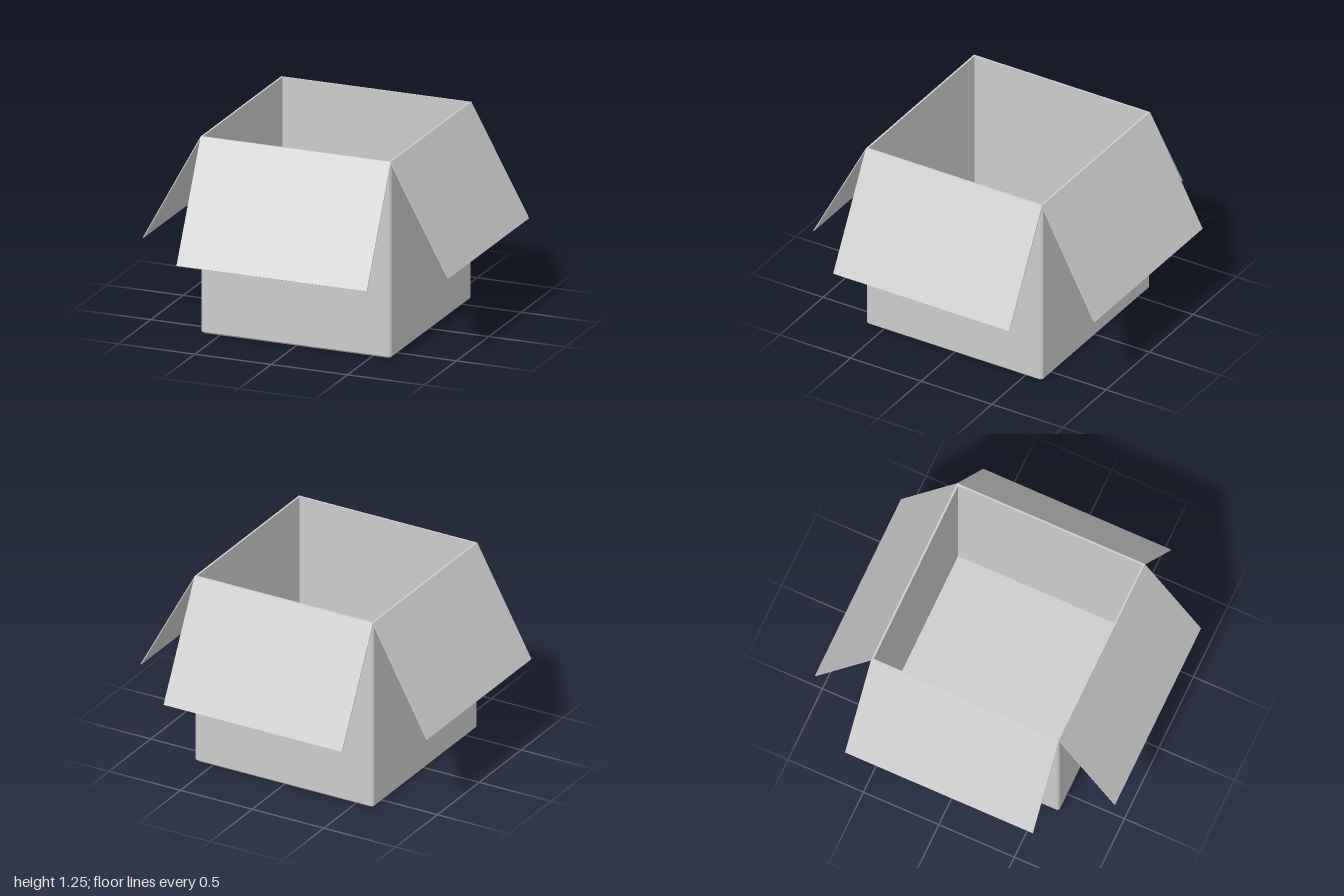
import * as THREE from 'three';

const HALF = 0.622, WALL = 0.012, HEIGHT = 1.25, BEVEL = 0.012;

// Square outline with slightly cut corners
function outline() {
  const a = HALF, b = HALF - BEVEL;
  return new THREE.Shape([
    [b, -a], [a, -b], [a, b], [b, a], [-b, a], [-a, b], [-a, -b], [-b, -a],
  ].map(([x, y]) => new THREE.Vector2(x, y)));
}

// Upright extrusion standing on y = 0
function extrudeUp(shape, height) {
  return new THREE.ExtrudeGeometry(shape, { depth: height, bevelEnabled: false }).rotateX(-Math.PI / 2);
}

export function createModel() {
  const model = new THREE.Group();
  model.name = 'openBox';
  const card = new THREE.MeshStandardMaterial({ color: 0xcccccc });
  card.name = 'light grey card';

  const add = (name, geometry, parent = model) => {
    const mesh = new THREE.Mesh(geometry, card);
    mesh.name = name;
    parent.add(mesh);
    return mesh;
  };

  // Four walls with an open top
  const ring = outline();
  const i = HALF - WALL;
  ring.holes.push(new THREE.Path([[-i, -i], [-i, i], [i, i], [i, -i]].map(([x, y]) => new THREE.Vector2(x, y))));
  add('walls', extrudeUp(ring, HEIGHT - BEVEL)).position.y = BEVEL;

  // Floor, narrowed at its underside to bevel the lower edges
  const floor = extrudeUp(outline(), BEVEL);
  const p = floor.attributes.position;
  const k = (HALF - BEVEL) / HALF;
  for (let n = 0; n < p.count; n++) {
    if (p.getY(n) < BEVEL / 2) p.setXYZ(n, p.getX(n) * k, 0, p.getZ(n) * k);
  }
  floor.computeVertexNormals();
  add('floor', floor);

  // Flaps folded outward from the rim
  ['frontFlap', 'leftFlap', 'backFlap', 'rightFlap'].forEach((name, n) => {
    const out = n % 2 ? 0.378 : 0.372;
    const drop = n % 2 ? 0.69 : 0.707;
    const length = Math.hypot(out, drop);
    const hinge = new THREE.Group();
    hinge.name = name + 'Hinge';
    hinge.rotation.y = n * Math.PI / 2;
    model.add(hinge);
    const flap = new THREE.BoxGeometry(HALF * 2, length, 0.006).translate(0, -length / 2, -0.003);
    flap.rotateX(-Math.atan2(out, drop));
    add(name, flap, hinge).position.set(0, HEIGHT, HALF);
  });

  return model;
}
